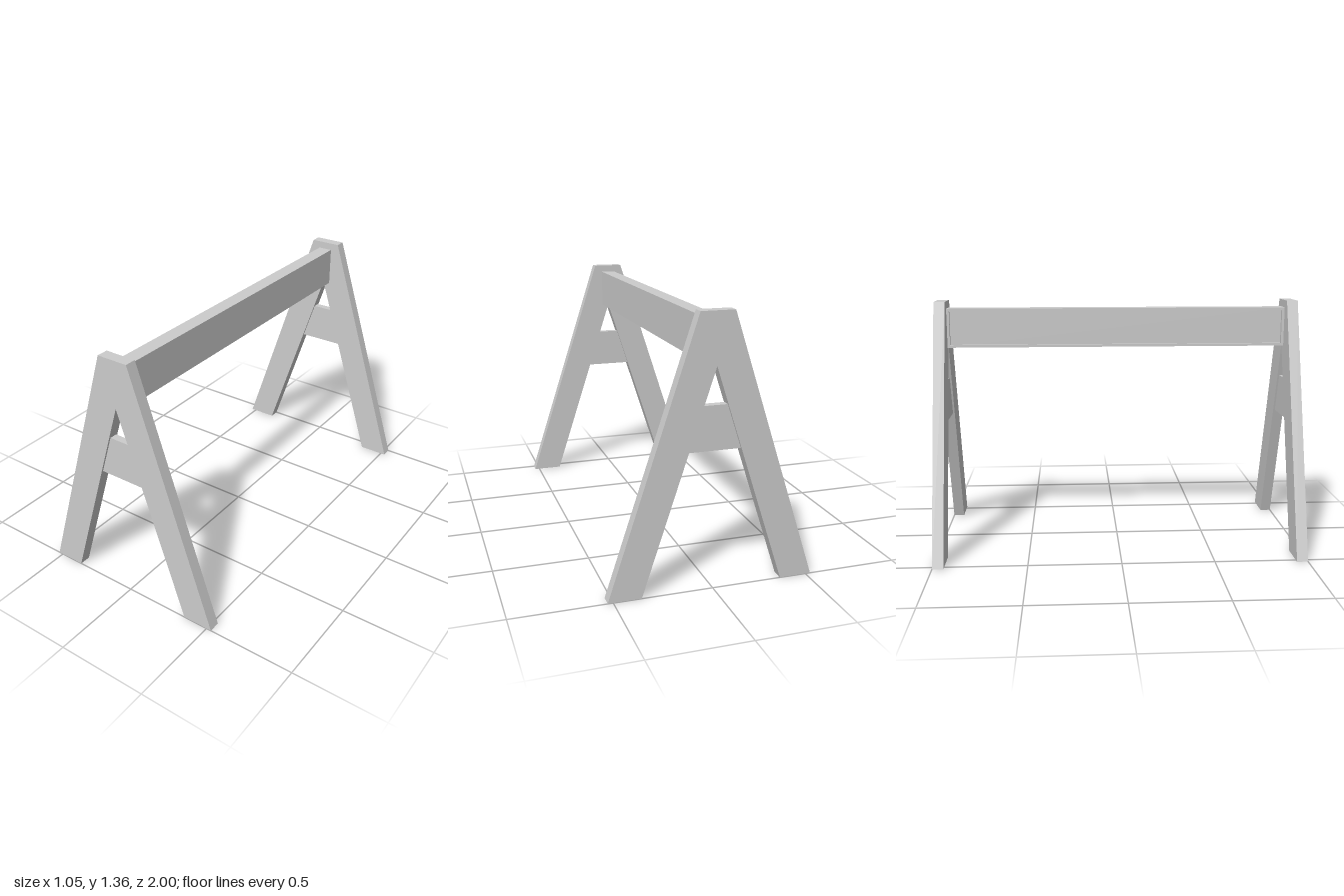
import * as THREE from 'three';

const material = new THREE.MeshStandardMaterial({ color: 0xcccccc, flatShading: true });

// Extrudes an outline in x/y, centred on z = 0
function slab(shape, depth) {
  const geometry = new THREE.ExtrudeGeometry(shape, { depth, bevelEnabled: false });
  return geometry.translate(0, 0, -depth / 2);
}

function outline(points) {
  return new THREE.Shape(points.map(([x, y]) => new THREE.Vector2(x, y)));
}

function rectangle(w, h) {
  return [[-w / 2, -h / 2], [w / 2, -h / 2], [w / 2, h / 2], [-w / 2, h / 2]];
}

function part(name, geometry, parent) {
  const mesh = new THREE.Mesh(geometry, material);
  mesh.name = name;
  parent.add(mesh);
  return mesh;
}

export function createModel() {
  const model = new THREE.Group();
  model.name = 'trestle';

  // A-shaped end frames, each with a thinner cross brace
  const apex = 1.105;
  const legs = slab(outline([
    [-0.527, 0], [-0.36, 0], [0, apex], [0.36, 0], [0.527, 0], [0.085, 1.36], [-0.085, 1.36],
  ]), 0.06);
  const inner = (y) => 0.36 * (1 - y / apex);
  const [low, high] = [0.7, 0.92];
  const brace = slab(outline([
    [-inner(low), low], [inner(low), low], [inner(high), high], [-inner(high), high],
  ]), 0.04);

  for (const [name, z] of [['front', 0.97], ['back', -0.97]]) {
    const frame = new THREE.Group();
    frame.name = name + 'EndFrame';
    frame.position.z = z;
    part(name + 'Legs', legs, frame);
    part(name + 'CrossBrace', brace, frame);
    model.add(frame);
  }

  // Top beam: a plank with a raised rim around a shallow recess on the -x side
  const length = 1.88, height = 0.215, width = 0.08, recess = 0.02, rim = 0.014;
  const beam = new THREE.Group();
  beam.name = 'beam';
  beam.position.y = apex + height / 2;
  part('beamPlank', new THREE.BoxGeometry(width - recess, height, length), beam).position.x = recess / 2;

  const rimShape = outline(rectangle(length, height));
  rimShape.holes.push(outline(rectangle(length - 2 * rim, height - 2 * rim)));
  const rimGeometry = slab(rimShape, recess).rotateY(Math.PI / 2);
  part('beamRim', rimGeometry, beam).position.x = -(width - recess) / 2;
  model.add(beam);

  return model;
}
